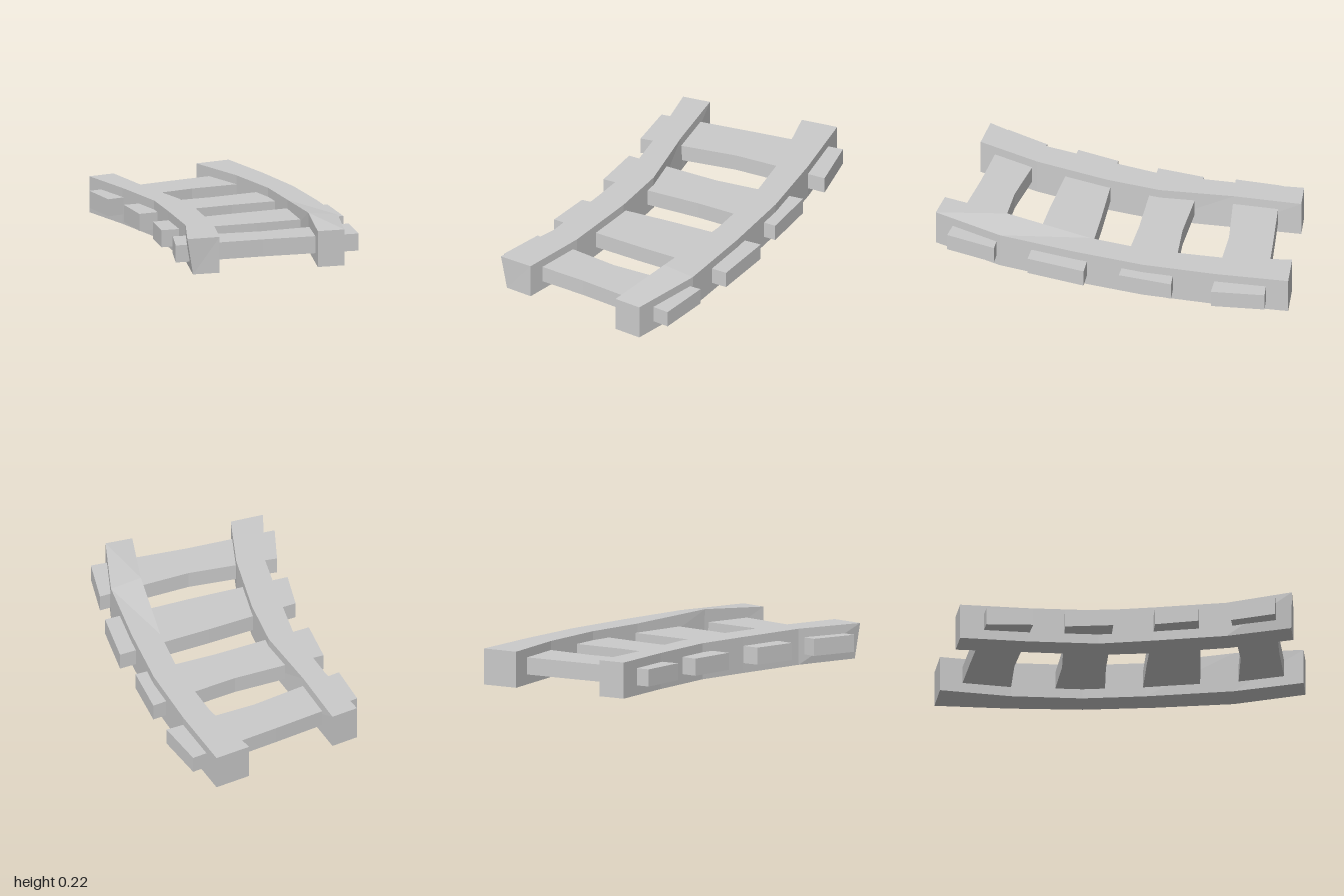
import * as THREE from 'three';

const material = new THREE.MeshStandardMaterial({ color: 0xcccccc, flatShading: true });

// Skins a bar through four-cornered sections, closing both ends.
function bar(name, sections) {
  const pos = [];
  const quad = (a, b, c, d) => [a, b, c, a, c, d].forEach((p) => pos.push(...p));
  for (let i = 0; i < sections.length - 1; i++) {
    const s = sections[i], t = sections[i + 1];
    for (let k = 0; k < 4; k++) quad(s[k], t[k], t[(k + 1) % 4], s[(k + 1) % 4]);
  }
  quad(...sections[0]);
  quad(...[...sections[sections.length - 1]].reverse());
  const geometry = new THREE.BufferGeometry();
  geometry.setAttribute('position', new THREE.Float32BufferAttribute(pos, 3));
  geometry.computeVertexNormals();
  const mesh = new THREE.Mesh(geometry, material);
  mesh.name = name;
  return mesh;
}

// Section from plan points [ax, az, bx, bz], with optional height of the a edge
// and sideways shifts of the two bottom corners.
const section = (bottom, top) => ([ax, az, bx, bz, aTop = top, aShift = 0, bShift = 0]) => [
  [ax, aTop, az], [bx, top, bz], [bx + bShift, bottom, bz], [ax + aShift, bottom, az],
];

export function createModel() {
  const group = new THREE.Group();
  group.name = 'curvedTrack';

  // Rails, running back to front
  const rails = {
    rightRail: [
      [-0.285, -0.97, -0.13, -0.975],
      [-0.285, -0.6, -0.155, -0.6, 0.2, 0, 0.01],
      [-0.305, -0.21, -0.16, -0.19],
      [-0.38, 0.08, -0.22, 0.11],
      [-0.49, 0.47, -0.34, 0.51],
      [-0.67, 0.81, -0.485, 0.84, 0.2, 0.035, 0],
    ],
    leftRail: [
      [0.4, -0.995, 0.605, -1],
      [0.43, -0.6, 0.59, -0.59],
      [0.41, -0.21, 0.555, -0.19],
      [0.34, 0.13, 0.48, 0.2],
      [0.205, 0.6, 0.38, 0.62, 0.225, 0.01, 0],
      [0.06, 0.965, 0.21, 0.995],
    ],
  };
  for (const [name, plan] of Object.entries(rails)) {
    group.add(bar(name, plan.map(section(0, 0.2))));
  }

  // Cross ties, front edge then back edge, from -x to +x
  const ties = [
    [[-0.385, -0.58, -0.36, -0.835], [0.16, -0.615, 0.16, -0.86], [0.69, -0.585, 0.685, -0.88]],
    [[-0.435, -0.145, -0.385, -0.405], [0.13, -0.115, 0.14, -0.355], [0.6, -0.065, 0.65, -0.36]],
    [[-0.55, 0.31, -0.475, 0.08], [0, 0.39, 0.05, 0.1], [0.51, 0.45, 0.59, 0.13]],
    [[-0.69, 0.715, -0.58, 0.485], [-0.19, 0.8, -0.09, 0.6], [0.345, 0.915, 0.435, 0.645]],
  ];
  ties.forEach((plan, i) => group.add(bar(`crossTie${i + 1}`, plan.map(section(0.055, 0.15)))));

  return group;
}
